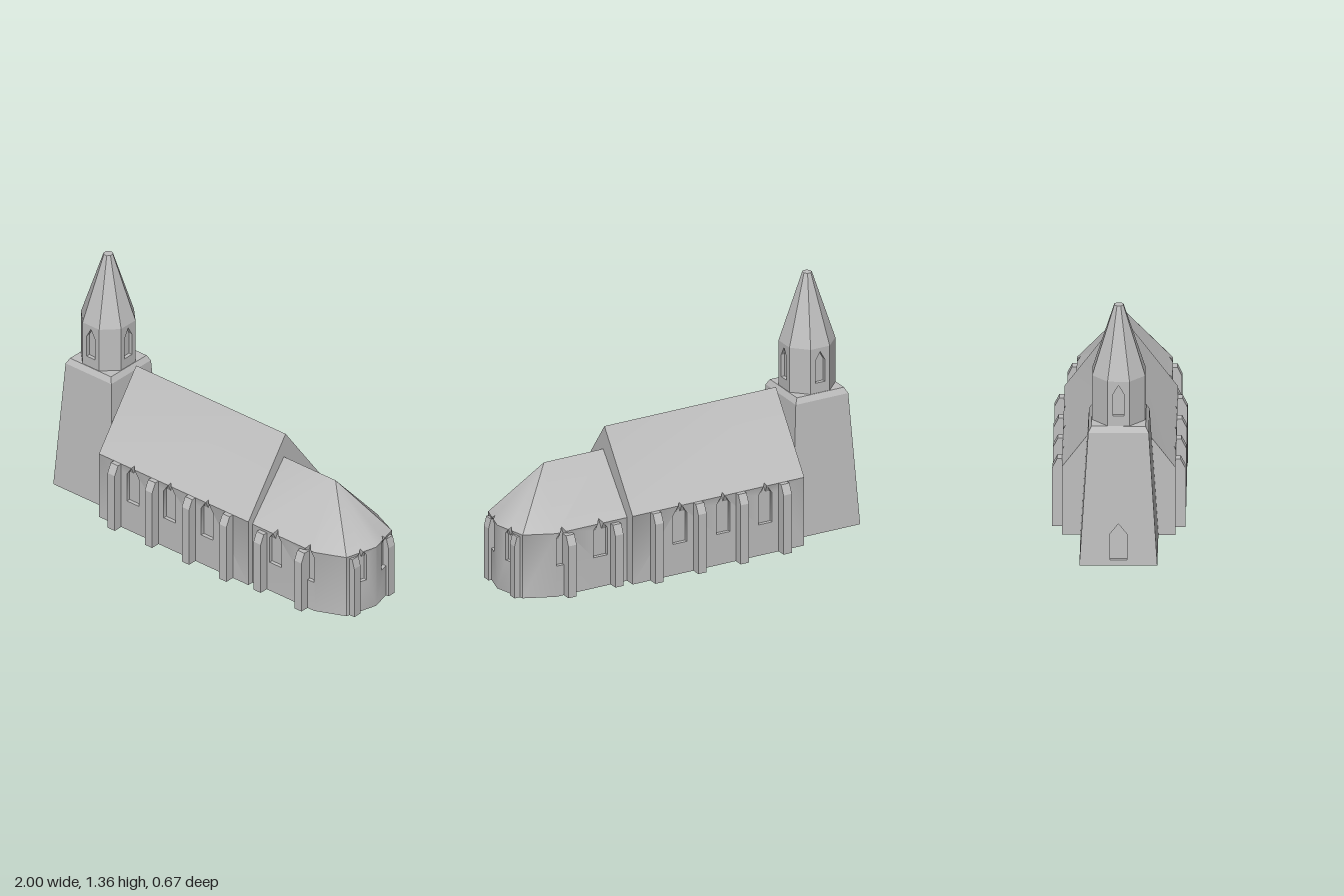
import * as THREE from 'three';
import { mergeGeometries, toCreasedNormals } from 'three/addons/utils/BufferGeometryUtils.js';

const V = (x, y, z) => new THREE.Vector3(x, y, z);
const UP = V(0, 1, 0);
const DEPTH = 0.02; // how far windows are set back
const stone = new THREE.MeshStandardMaterial({ color: 0xbfbfbf });
stone.name = 'stone';

const shapeOf = (pts) => new THREE.Shape(pts.map(([x, y]) => new THREE.Vector2(x, y)));

// pointed window outline
const arch = (c, w, sill, shoulder, tip) =>
  [[c - w, sill], [c + w, sill], [c + w, shoulder], [c, tip], [c - w, shoulder]];

// flat slab: outline on axes u, v at origin o, thickened along -out
function slab(o, u, v, out, pts, hole) {
  const shape = shapeOf(pts);
  if (hole) shape.holes.push(shapeOf(hole));
  const g = new THREE.ExtrudeGeometry(shape, { depth: 1, bevelEnabled: false });
  return place(g, o.clone().sub(out), u, v, out);
}

// flat sheet facing u x v
const sheet = (o, u, v, pts) =>
  place(new THREE.ShapeGeometry(shapeOf(pts)), o, u, v, u.clone().cross(v));

function place(geo, o, u, v, w) {
  const g = geo.index ? geo.toNonIndexed() : geo;
  g.clearGroups();
  g.applyMatrix4(new THREE.Matrix4().makeBasis(u, v, w).setPosition(o));
  g.computeVertexNormals();
  return g;
}

// wall from a to b with its roof slope; windows break slightly through the eave
function bay(a, b, eave, tops, centres, win) {
  const { w, sill, shoulder, tip } = win;
  const u = b.clone().sub(a), len = u.length();
  u.normalize();
  const n = u.clone().cross(UP);
  const k = w * (tip - eave) / (tip - shoulder);
  const cs = [...centres].sort((p, q) => p - q);

  const wall = [[0, 0], [len, 0], [len, eave]];
  for (const c of [...cs].reverse()) {
    wall.push([c + k, eave], [c + w, shoulder], [c + w, sill],
      [c - w, sill], [c - w, shoulder], [c - k, eave]);
  }
  wall.push([0, eave]);

  const o = a.clone().setY(eave);
  const rel = tops.map((t) => t.clone().sub(o));
  const v = rel[0].clone().addScaledVector(u, -rel[0].dot(u)).normalize();
  const roof = [[0, 0]];
  for (const c of cs) roof.push([c - k, 0], [c, (tip - eave) / v.y], [c + k, 0]);
  roof.push([len, 0], ...rel.map((r) => [r.dot(u), r.dot(v)]));

  const out = n.clone().multiplyScalar(DEPTH);
  const back = a.clone().sub(out);
  return [
    slab(a, u, UP, out, wall),
    slab(o, u, v, out.clone().addScaledVector(UP, 0.04), roof),
    ...cs.map((c) => sheet(back, u, UP, arch(c, w, sill, shoulder, tip))),
  ];
}

// one side of a tapering tower stage, turned about the tower axis
function towerSide(half, topHalf, apothem, topApothem, y0, y1, angle, win) {
  const v = V(0, y1 - y0, topApothem - apothem);
  const h = v.length();
  v.normalize();
  const u = V(1, 0, 0), o = V(0, y0, apothem);
  const out = V(0, 0, DEPTH);
  const parts = [slab(o, u, v, out, [[-half, 0], [half, 0], [topHalf, h], [-topHalf, h]], win)];
  if (win) parts.push(sheet(o.clone().sub(out), u, v, win));
  return parts.map((g) => g.rotateY(angle));
}

export function createModel() {
  const model = new THREE.Group();
  const add = (name, geo, parent = model) => {
    const m = new THREE.Mesh(geo, stone);
    m.name = name;
    parent.add(m);
    return m;
  };
  const join = (parts) => toCreasedNormals(mergeGeometries(parts), 0.6);
  const X = V(1, 0, 0), Z = V(0, 0, 1), NX = V(-1, 0, 0), NZ = V(0, 0, -1);

  // nave
  const x0 = -0.62, x1 = 0.38, hw = 0.287, eave = 0.375, ridge = 0.765;
  const naveWin = { w: 0.04, sill: 0.17, shoulder: 0.33, tip: 0.39 };
  const naveX = [-0.393, -0.147, 0.104];
  const r0 = V(x0, ridge, 0), r1 = V(x1, ridge, 0);
  const gable = [[-hw, 0], [hw, 0], [hw, eave], [0, ridge], [-hw, eave]];
  add('nave', join([
    ...bay(V(x0, 0, hw), V(x1, 0, hw), eave, [r1, r0], naveX.map((x) => x - x0), naveWin),
    ...bay(V(x1, 0, -hw), V(x0, 0, -hw), eave, [r0, r1], naveX.map((x) => x1 - x), naveWin),
    sheet(V(x1, 0, 0), NZ, UP, gable),
    sheet(V(x0, 0, 0), Z, UP, gable),
    sheet(V(0, 0, 0), X, Z, [[x0, -hw], [x1, -hw], [x1, hw], [x0, hw]]),
  ]));

  // choir with polygonal apse
  const cz = 0.013, ch = 0.243, cEave = 0.348;
  const half = [[x1, ch], [0.794, ch], [0.95, 0.175]];
  const plan = [...half, [0.998, 0], ...half.map(([x, z]) => [x, -z]).reverse()]
    .map(([x, z]) => V(x, 0, z + cz));
  const apex = V(0.725, 0.635, cz), inner = V(x1, 0.635, cz);
  const choirWin = { w: 0.04, sill: 0.168, shoulder: 0.318, tip: 0.37 };
  const apseWin = { w: 0.03, sill: 0.175, shoulder: 0.325, tip: 0.362 };
  const choirParts = [];
  for (let i = 0; i < 6; i++) {
    const a = plan[i], b = plan[i + 1], len = a.distanceTo(b);
    const tops = i === 0 ? [apex, inner] : i === 5 ? [inner, apex] : [apex];
    const side = [0.155, 0.372];
    const centres = i === 0 ? side : i === 5 ? side.map((d) => len - d)
      : i === 2 || i === 3 ? [len / 2] : [];
    choirParts.push(...bay(a, b, cEave, tops, centres, i % 5 ? apseWin : choirWin));
  }
  choirParts.push(sheet(V(0, 0, 0), X, Z, plan.map((p) => [p.x, p.z])));
  add('choirAndApse', join(choirParts));

  // buttresses with sloped caps
  const buttresses = new THREE.Group();
  buttresses.name = 'buttresses';
  model.add(buttresses);
  const buttress = (x, z, angle, p, h) => {
    const s = shapeOf([[-0.015, 0], [p, 0], [p, h - 0.05], [p / 2, h], [-0.015, h]]);
    const g = new THREE.ExtrudeGeometry(s, { depth: 0.048, bevelEnabled: false });
    g.translate(0, 0, -0.024);
    const m = add('buttress', g, buttresses);
    m.position.set(x, 0, z);
    m.rotation.y = angle;
  };
  for (const s of [1, -1]) {
    for (const x of [-0.495, -0.245, 0.002, 0.252]) buttress(x, s * hw, -s * Math.PI / 2, 0.05, 0.375);
    for (const x of [0.452, 0.725]) buttress(x, cz + s * ch, -s * Math.PI / 2, 0.047, 0.335);
    buttress(0.958, cz + s * 0.132, 0, 0.028, 0.335);
  }

  // tower
  const tower = new THREE.Group();
  tower.name = 'tower';
  tower.position.set(-0.803, 0, 0.004);
  model.add(tower);
  const base = 0.197, top = 0.153, T = Math.tan(Math.PI / 8), C = Math.cos(Math.PI / 8);
  const shaft = [];
  for (let i = 0; i < 4; i++) {
    // the door is on the end wall
    const door = i === 3 ? arch(0, 0.043, 0.03, 0.17, 0.225) : null;
    shaft.push(...towerSide(base, top, base, top, 0, 0.715, i * Math.PI / 2, door));
  }
  shaft.push(sheet(V(0, 0, 0), X, Z, [[-base, -base], [base, -base], [base, base], [-base, base]]));
  add('towerShaft', mergeGeometries(shaft), tower);

  // sloped shoulder of the shaft
  const prism = (rTop, rBottom, y0, y1, sides) => {
    const k = 1 / Math.cos(Math.PI / sides);
    const g = new THREE.CylinderGeometry(rTop * k, rBottom * k, y1 - y0, sides)
      .rotateY(Math.PI / sides).translate(0, (y0 + y1) / 2, 0).toNonIndexed();
    g.computeVertexNormals();
    return g;
  };
  add('towerShoulder', prism(0.137, top, 0.715, 0.745, 4), tower);

  // octagonal belfry with four windows
  const r = 0.134, belfry = [];
  for (let i = 0; i < 8; i++) {
    const win = i % 2 ? null : arch(0, 0.028, 0.075, 0.195, 0.245);
    belfry.push(...towerSide(r * T, r * T, r, r, 0.725, 0.99, i * Math.PI / 4, win));
  }
  add('belfry', mergeGeometries(belfry), tower);
  add('spire', prism(0.023, r, 0.99, 1.36, 8), tower);

  return model;
}
